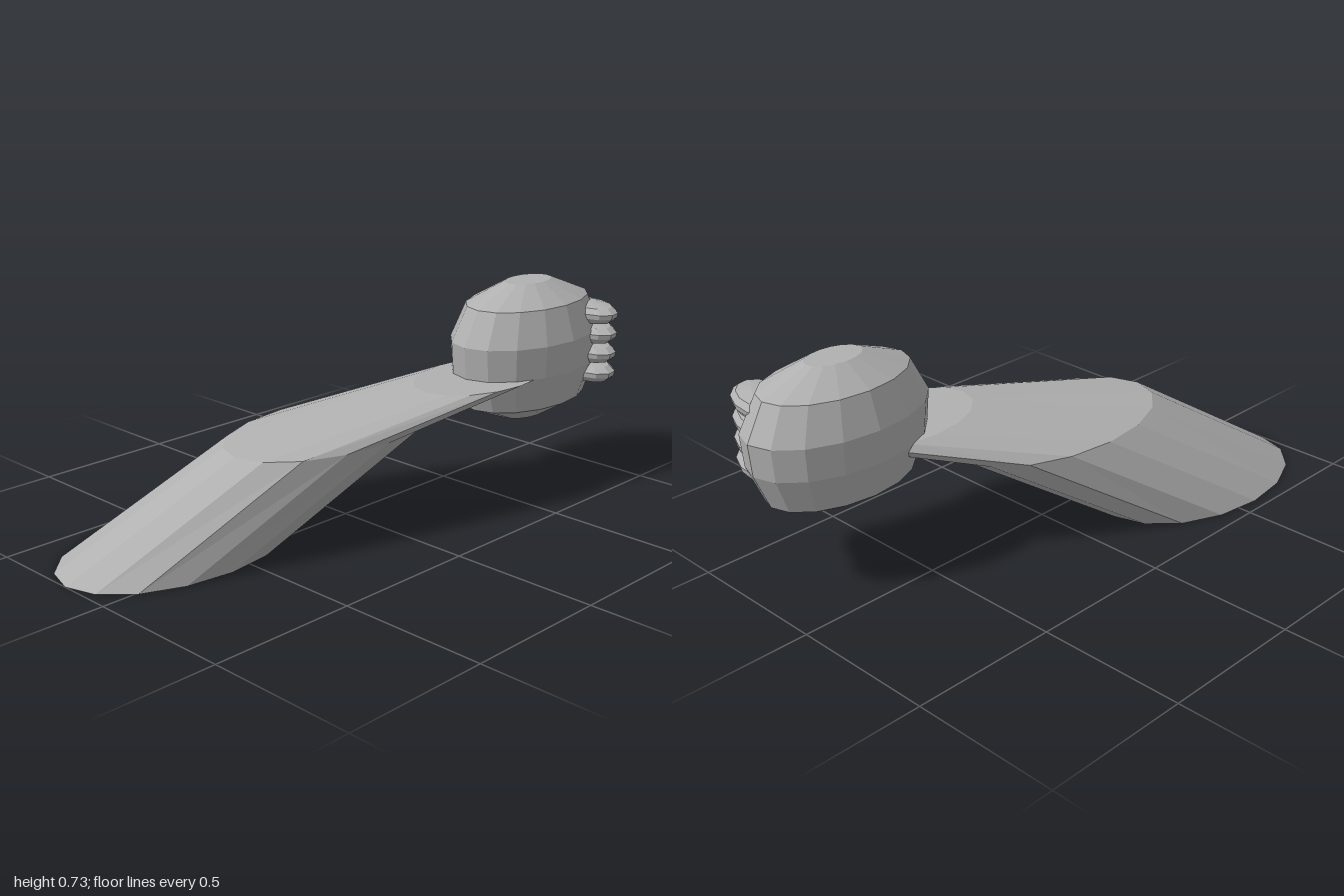
import * as THREE from 'three';

// Closed skin over horizontal elliptical rings: [cx, y, cz, rx, rz], bottom to top
function loft(rings, sides) {
  const pos = [], idx = [];
  for (const [cx, y, cz, rx, rz] of rings) {
    for (let i = 0; i < sides; i++) {
      const a = (i / sides) * Math.PI * 2;
      pos.push(cx + rx * Math.sin(a), y, cz + rz * Math.cos(a));
    }
  }
  for (let r = 0; r < rings.length - 1; r++) {
    for (let i = 0; i < sides; i++) {
      const a = r * sides + i, b = r * sides + (i + 1) % sides;
      idx.push(a, b, b + sides, a, b + sides, a + sides);
    }
  }
  // flat caps
  const top = (rings.length - 1) * sides;
  for (let i = 1; i < sides - 1; i++) {
    idx.push(0, i + 1, i, top, top + i, top + i + 1);
  }
  const g = new THREE.BufferGeometry();
  g.setAttribute('position', new THREE.Float32BufferAttribute(pos, 3));
  g.setIndex(idx);
  g.computeVertexNormals();
  return g;
}

// Faceted ball with flat ends, shared by fist and fingers: [height, radius]
const ballProfile = [[-1, 0.31], [-0.73, 0.81], [-0.22, 0.97], [0.24, 1], [0.73, 0.81], [1, 0.31]];
const ball = (rx, ry, rz, sides) =>
  loft(ballProfile.map(([h, r]) => [0, h * ry, 0, r * rx, r * rz]), sides);

export function createModel() {
  const group = new THREE.Group();
  const grey = new THREE.MeshStandardMaterial({ color: 0xb0b0b0, flatShading: true });
  grey.name = 'grey';

  const add = (name, geometry, x = 0, y = 0, z = 0) => {
    const mesh = new THREE.Mesh(geometry, grey);
    mesh.name = name;
    mesh.position.set(x, y, z);
    group.add(mesh);
    return mesh;
  };

  // slanted arm: base, elbow and wrist sections
  add('arm', loft([
    [-0.187, 0, 0.58, 0.275, 0.42],
    [0.01, 0.33, 0.073, 0.246, 0.42],
    [0.215, 0.44, -0.425, 0.175, 0.275],
  ], 16));

  // closed hand
  add('fist', ball(0.203, 0.2375, 0.328, 16), 0.213, 0.4925, -0.672);

  // four stacked fingers
  for (let i = 0; i < 4; i++) {
    const finger = add('finger' + (i + 1), ball(0.14, 0.036, 0.082, 12), 0.324, 0.608 - i * 0.069, -0.863);
    finger.rotation.y = -0.26;
  }
  return group;
}
